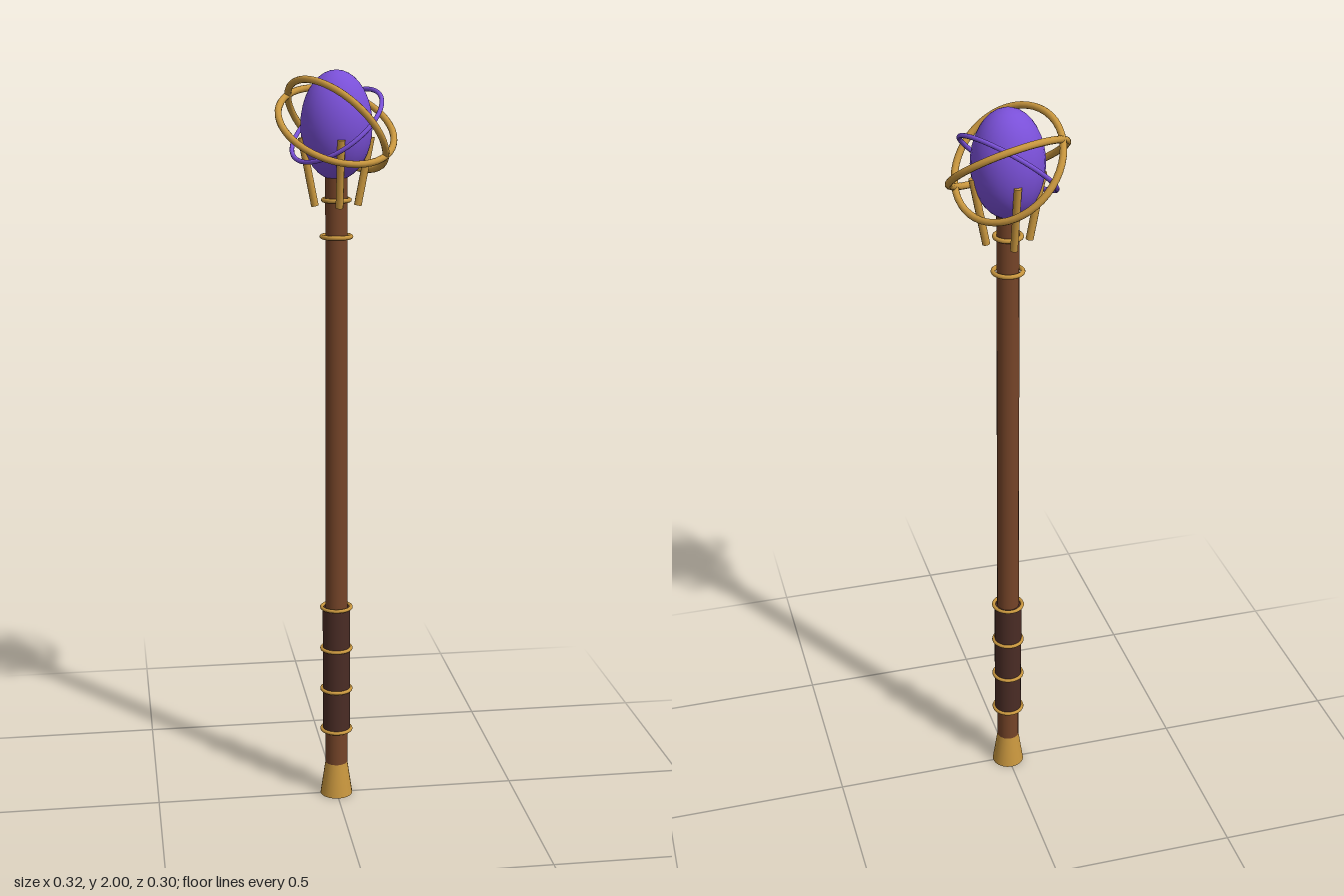
import * as THREE from 'three';

const mat = (color) => new THREE.MeshStandardMaterial({ color });

export function createModel() {
  const staff = new THREE.Group();
  staff.name = 'staff';
  const wood = mat(0x754428), leather = mat(0x4a2c25), gold = mat(0xc8963e), violet = mat(0x7a50d8);

  const add = (name, geometry, material, y = 0) => {
    const mesh = new THREE.Mesh(geometry, material);
    mesh.name = name;
    mesh.position.y = y;
    staff.add(mesh);
    return mesh;
  };
  // Upright cylinder between two heights
  const post = (name, y0, y1, r0, r1, material) =>
    add(name, new THREE.CylinderGeometry(r1, r0, y1 - y0, 20), material, (y0 + y1) / 2);
  // Torus whose axis points along a given direction
  const ring = (name, radius, tube, axis, material, y) => {
    const mesh = add(name, new THREE.TorusGeometry(radius, tube, 10, 48), material, y);
    mesh.quaternion.setFromUnitVectors(new THREE.Vector3(0, 0, 1), new THREE.Vector3(...axis).normalize());
    return mesh;
  };

  // Shaft, foot and grip
  post('foot', 0, 0.095, 0.045, 0.031, gold);
  post('shaft', 0.09, 1.75, 0.031, 0.029, wood);
  post('grip', 0.195, 0.555, 0.038, 0.038, leather);

  // Metal bands on the grip and below the head
  for (let i = 0; i < 4; i++) ring('gripBand', 0.04, 0.005, [0, 1, 0], gold, 0.195 + i * 0.12);
  ring('neckBand', 0.038, 0.006, [0, 1, 0], gold, 1.575);
  ring('collar', 0.034, 0.006, [0, 1, 0], gold, 1.67);

  // Egg-shaped gem
  add('gem', new THREE.SphereGeometry(0.093, 24, 18), violet, 1.86).scale.y = 1.5;

  // Four prongs leaning outwards around the gem
  const low = new THREE.Vector2(0.056, 1.655), high = new THREE.Vector2(0.09, 1.83);
  for (let i = 0; i < 4; i++) {
    const pivot = new THREE.Group();
    pivot.name = 'prong';
    pivot.rotation.y = i * Math.PI / 2;
    const prong = new THREE.Mesh(new THREE.CylinderGeometry(0.01, 0.01, low.distanceTo(high), 10), gold);
    prong.name = 'prongBar';
    prong.position.set((low.x + high.x) / 2, (low.y + high.y) / 2, 0);
    prong.rotation.z = -Math.atan2(high.x - low.x, high.y - low.y);
    pivot.add(prong);
    staff.add(pivot);
  }

  // Tilted rings orbiting the gem
  ring('wideOrbit', 0.154, 0.009, [0.2, 0.82, 0.54], gold, 1.86);
  ring('steepOrbit', 0.154, 0.009, [0.64, 0.64, -0.42], gold, 1.86);
  ring('innerOrbit', 0.135, 0.006, [-0.57, 0.76, 0.31], violet, 1.86);

  return staff;
}
